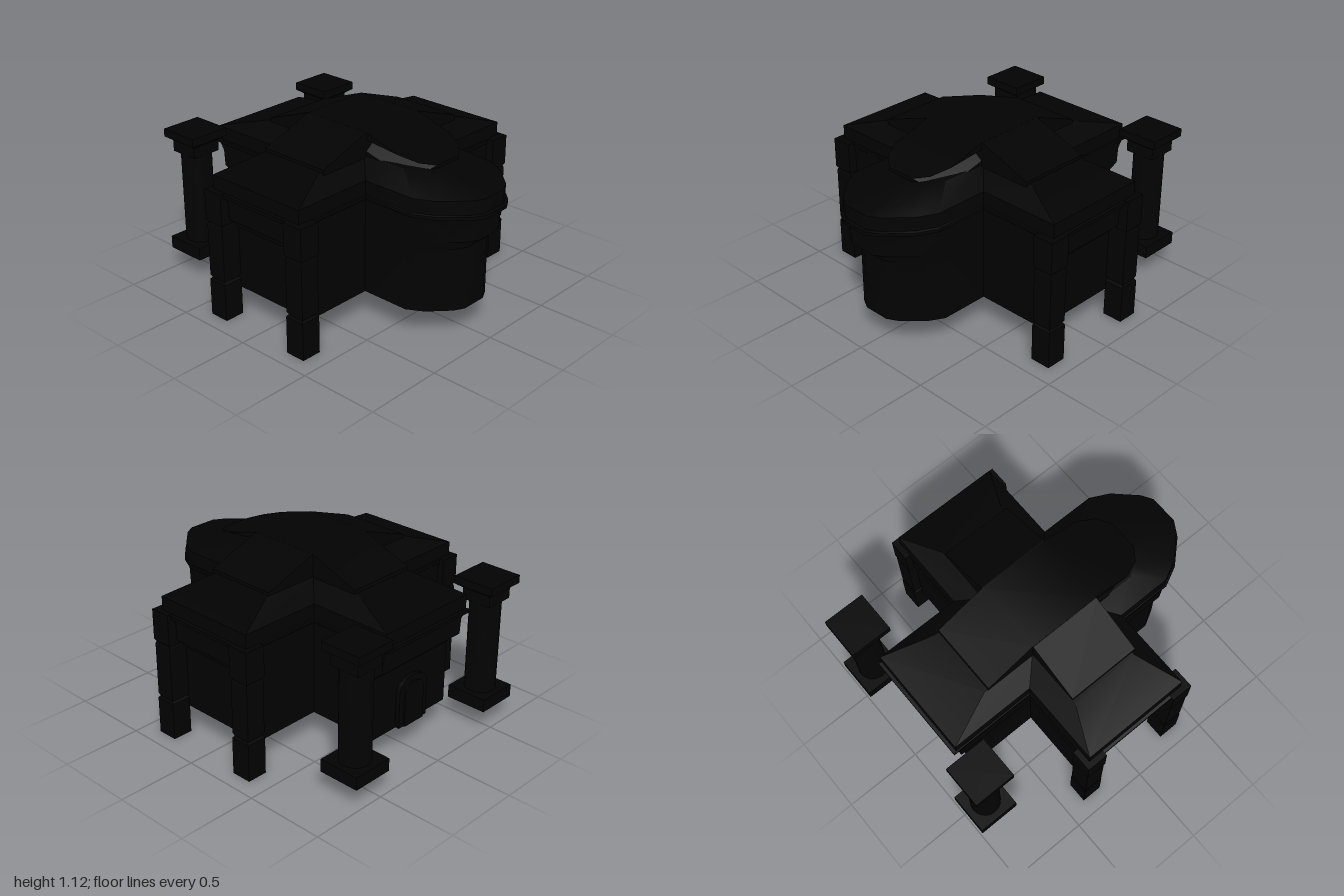
import * as THREE from 'three';
import { toCreasedNormals } from 'three/addons/utils/BufferGeometryUtils.js';

const stone = new THREE.MeshStandardMaterial({ color: 0x020202, side: THREE.DoubleSide });

function add(parent, name, geometry, x = 0, y = 0, z = 0) {
  const mesh = new THREE.Mesh(geometry, stone);
  mesh.name = name;
  mesh.position.set(x, y, z);
  parent.add(mesh);
  return mesh;
}

// Cross plan with a rounded apse on +x; s insets the arm sides, e the arm ends
function plan(s, e) {
  const w = 0.35 - s, L = 0.885 - 0.88 * e, X = 0.9 - e;
  const x0 = 0.7 - 0.55 * e, len = 1 - e - x0;
  const half = [[0, 1], [0.4, 0.83], [0.86, 0.46], [1, 0.26]];
  const curve = half.map(([a, b]) => [x0 + a * len, b * w]);
  const back = curve.map(([x, z]) => [x, -z]).reverse();
  return [...curve, ...back,
    [w, -w], [w, -L], [-w, -L], [-w, -w], [-X, -w], [-X, w],
    [-w, w], [-w, L], [w, L], [w, w]];
}

// Skin between successive [y, sideInset, endInset] levels, optionally closed on top
function loft(levels, capped) {
  const rings = levels.map(([y, s, e]) => plan(s, e).map(([x, z]) => [x, y, z]));
  const pos = [];
  const n = rings[0].length;
  for (let k = 0; k < rings.length - 1; k++) {
    for (let i = 0; i < n; i++) {
      const j = (i + 1) % n;
      const a = rings[k][i], b = rings[k][j], c = rings[k + 1][j], d = rings[k + 1][i];
      pos.push(...a, ...b, ...c, ...a, ...c, ...d);
    }
  }
  if (capped) {
    const top = rings[rings.length - 1];
    for (let i = 0; i < n; i++) pos.push(0, top[0][1], 0, ...top[i], ...top[(i + 1) % n]);
  }
  const g = new THREE.BufferGeometry();
  g.setAttribute('position', new THREE.Float32BufferAttribute(pos, 3));
  g.computeVertexNormals();
  return toCreasedNormals(g, 0.6);
}

function extrude(points, depth) {
  const shape = new THREE.Shape(points.map(([x, y]) => new THREE.Vector2(x, y)));
  return new THREE.ExtrudeGeometry(shape, { depth, bevelEnabled: false }).translate(0, 0, -depth / 2);
}

// Square post turned from [halfWidth, y] points
function squarePost(profile) {
  const pts = profile.map(([h, y]) => new THREE.Vector2(h * Math.SQRT2, y));
  return toCreasedNormals(new THREE.LatheGeometry(pts, 4).rotateY(Math.PI / 4), 0.3);
}

// Free-standing column with a plinth and a flared square capital
function column(x, z) {
  const g = new THREE.Group();
  g.name = 'column';
  g.position.set(x, 0, z);
  add(g, 'columnPlinth', new THREE.BoxGeometry(0.265, 0.08, 0.265), 0, 0.18);
  add(g, 'columnShaft', new THREE.CylinderGeometry(0.094, 0.094, 0.6, 20), 0, 0.51);
  add(g, 'columnCapital', squarePost([
    [0, 0.8], [0.096, 0.8], [0.096, 0.87], [0.1325, 0.895], [0.1325, 0.945], [0, 0.945]]));
  return g;
}

// Raised roof over the long arm, its apse end drawn in to a rounded plan
function raisedRoofAcross() {
  const g = extrude([
    [-0.55, 0.95], [0.48, 0.95], [0.59, 0.95], [0.65, 0.95], [0.65, 1.005], [0.59, 1.023],
    [0.48, 1.055], [0.24, 1.125], [-0.22, 1.125], [-0.54, 1.005]], 0.45);
  const p = g.attributes.position;
  for (let i = 0; i < p.count; i++) {
    const x = p.getX(i);
    if (x > 0.5) p.setZ(i, p.getZ(i) * (x > 0.62 ? 0.42 : 0.78));
  }
  return toCreasedNormals(g, 0.5);
}

// Arched panel in the plane facing -x
function arch(width, top, depth) {
  const r = width / 2, rise = r * 0.7;
  const pts = [[-r, 0.18], [r, 0.18]];
  for (let i = 0; i <= 12; i++) {
    const t = Math.PI * i / 12;
    pts.push([r * Math.cos(t), top - rise + rise * Math.sin(t)]);
  }
  return extrude(pts, depth).rotateY(-Math.PI / 2);
}

export function createModel() {
  const model = new THREE.Group();
  model.name = 'crossPlanBuilding';

  // Walls flaring into a frieze and cornice, open underneath
  add(model, 'walls', loft([
    [0.178, 0.03, 0.127], [0.57, 0.03, 0.127], [0.61, 0.022, 0.09], [0.64, 0.012, 0.05],
    [0.74, 0.01, 0.045], [0.785, 0.005, 0.025]], false));
  add(model, 'cornice', loft([
    [0.785, 0.005, 0.025], [0.79, 0, 0], [0.81, 0, 0], [0.815, 0.006, 0.02]], false));

  // Hipped lower roof
  add(model, 'lowerRoof', loft([
    [0.815, 0.006, 0.02], [0.9, 0.006, 0.02], [0.985, 0.13, 0.335]], true));

  // Two crossing raised roofs that climb to the flat centre
  add(model, 'raisedRoofAcross', raisedRoofAcross());
  add(model, 'raisedRoofAlong', extrude([
    [-0.57, 0.95], [0.57, 0.95], [0.57, 1.005], [0.23, 1.125], [-0.23, 1.125], [-0.57, 1.005]], 0.46)
    .rotateY(Math.PI / 2).translate(0.01, -0.0005, 0));

  // Doorway on the end opposite the apse
  add(model, 'doorFrame', arch(0.24, 0.49, 0.05), -0.775);
  add(model, 'door', arch(0.16, 0.45, 0.07), -0.775);

  // Corner pillars: square foot, shaft and head parted by narrow necks
  const pillar = squarePost([
    [0, 0], [0.0645, 0], [0.0645, 0.235], [0.054, 0.248], [0.0625, 0.265],
    [0.0625, 0.595], [0.057, 0.61], [0.067, 0.625], [0.067, 0.815], [0, 0.815]]);
  for (const z of [-0.835, 0.837]) {
    for (const x of [-0.312, 0.326]) add(model, 'cornerPillar', pillar, x, 0, z);
  }
  for (const z of [-0.567, 0.55]) model.add(column(-0.867, z));

  return model;
}
